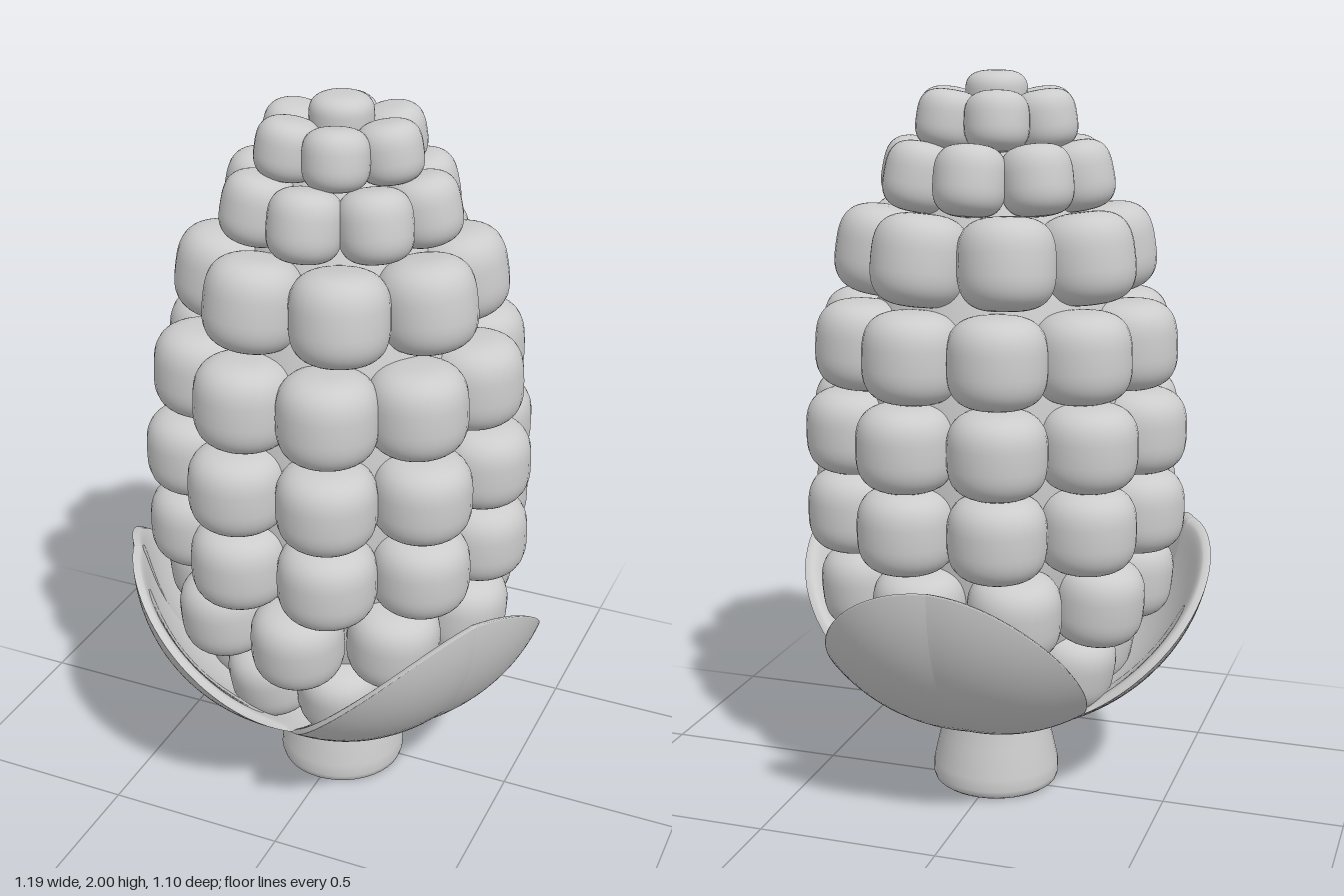
import * as THREE from 'three';

const material = new THREE.MeshStandardMaterial({ color: 0xcccccc, side: THREE.DoubleSide });
const lathe = (pts, segments = 40) =>
  new THREE.LatheGeometry(pts.map(([r, y]) => new THREE.Vector2(r, y)), segments);

function add(parent, name, geometry) {
  const mesh = new THREE.Mesh(geometry, material);
  mesh.name = name;
  parent.add(mesh);
  return mesh;
}

// Kernel: round from above, a soft rounded square from the side
function kernelGeometry(w, h, power = 0.66) {
  const pts = [];
  for (let i = 0; i <= 28; i++) {
    const a = (i / 28 - 0.5) * Math.PI;
    const c = Math.max(0, Math.cos(a)), s = Math.sin(a);
    pts.push([w * Math.pow(c, power), h * Math.sign(s) * Math.pow(Math.abs(s), power)]);
  }
  return lathe(pts, 28);
}

// One half of a husk leaf: outer skin up to the rim, then inner skin back down
function leafHalf(side) {
  const g = new THREE.PlaneGeometry(1, 1, 28, 48);
  const p = g.attributes.position;
  for (let i = 0; i < p.count; i++) {
    const u = side > 0 ? p.getX(i) + 0.5 : p.getX(i) - 0.5;
    const v = p.getY(i) + 0.5;
    const au = Math.abs(u);
    const s = 1 - Math.abs(2 * v - 1);                       // 0 at the base, 1 at the rim
    const rim = 0.3 + 0.44 * Math.pow(Math.max(0, 1 - Math.pow(au, 2.2)), 1.6);
    const bRim = Math.asin((0.74 - rim) / 0.56);
    const b = THREE.MathUtils.lerp(1.3, bRim, 1 - (1 - s) ** 1.5);
    const thick = v > 0.5 ? 0.045 * Math.sqrt(Math.max(0, (1 - s ** 4) * (1 - au ** 4))) : 0;
    const r = (0.58 + 0.025 * Math.sin(Math.PI * au)) * Math.cos(b) - thick * Math.cos(b);
    const y = 0.74 - 0.56 * Math.sin(b) + thick * Math.sin(b);
    const a = u * Math.PI / 3;
    p.setXYZ(i, r * Math.sin(a), y, r * Math.cos(a));
  }
  g.computeVertexNormals();
  return g;
}

export function createModel() {
  const model = new THREE.Group();
  model.name = 'cornCob';
  const cob = new THREE.Group();
  cob.name = 'cob';
  cob.position.z = 0.03;
  model.add(cob);

  // Stem with a softly rounded foot
  add(cob, 'stem', lathe([[0, 0], [0.165, 0], [0.175, 0.008], [0.18, 0.025], [0.178, 0.06],
    [0.16, 0.14], [0.145, 0.22], [0.14, 0.3], [0, 0.3]]));

  // Core behind the kernels
  add(cob, 'core', lathe([[0, 0.22], [0.15, 0.25], [0.27, 0.38], [0.34, 0.6], [0.38, 0.85],
    [0.38, 1.1], [0.34, 1.35], [0.27, 1.53], [0.18, 1.72], [0.08, 1.88], [0, 1.9]]));

  // Kernel rows: count, first angle, ring radius, height, half width, half height, inward tilt
  const rows = [
    [8, 22.5, 0.27, 0.41, 0.12, 0.11, -12],
    [9, 5, 0.37, 0.62, 0.125, 0.115, -5],
    [10, 18, 0.4, 0.84, 0.13, 0.115, 0],
    [10, 18, 0.4, 1.06, 0.13, 0.115, 0],
    [10, 18, 0.37, 1.29, 0.13, 0.12, 3],
    [8, 22.5, 0.305, 1.53, 0.127, 0.12, 9],
    [8, 0, 0.225, 1.73, 0.095, 0.092, 12],
    [6, 18, 0.145, 1.875, 0.085, 0.078, 10],
    [1, 0, 0, 1.94, 0.083, 0.06, 0],
  ];
  for (const [count, start, radius, y, w, h, tilt] of rows) {
    const row = new THREE.Group();
    row.name = 'kernelRow';
    cob.add(row);
    const geometry = kernelGeometry(w, h);
    for (let k = 0; k < count; k++) {
      const a = THREE.MathUtils.degToRad(start + k * 360 / count);
      const kernel = add(row, 'kernel', geometry);
      kernel.position.set(radius * Math.sin(a), y, radius * Math.cos(a));
      kernel.rotation.set(-THREE.MathUtils.degToRad(tilt), a, 0, 'YXZ');
    }
  }

  // Three husk leaves, each creased along the middle
  const halves = [leafHalf(1), leafHalf(-1)];
  for (const angle of [60, 180, 300]) {
    const leaf = new THREE.Group();
    leaf.name = 'huskLeaf';
    leaf.rotation.y = THREE.MathUtils.degToRad(angle);
    halves.forEach((g) => add(leaf, 'huskLeafHalf', g));
    cob.add(leaf);
  }
  return model;
}
